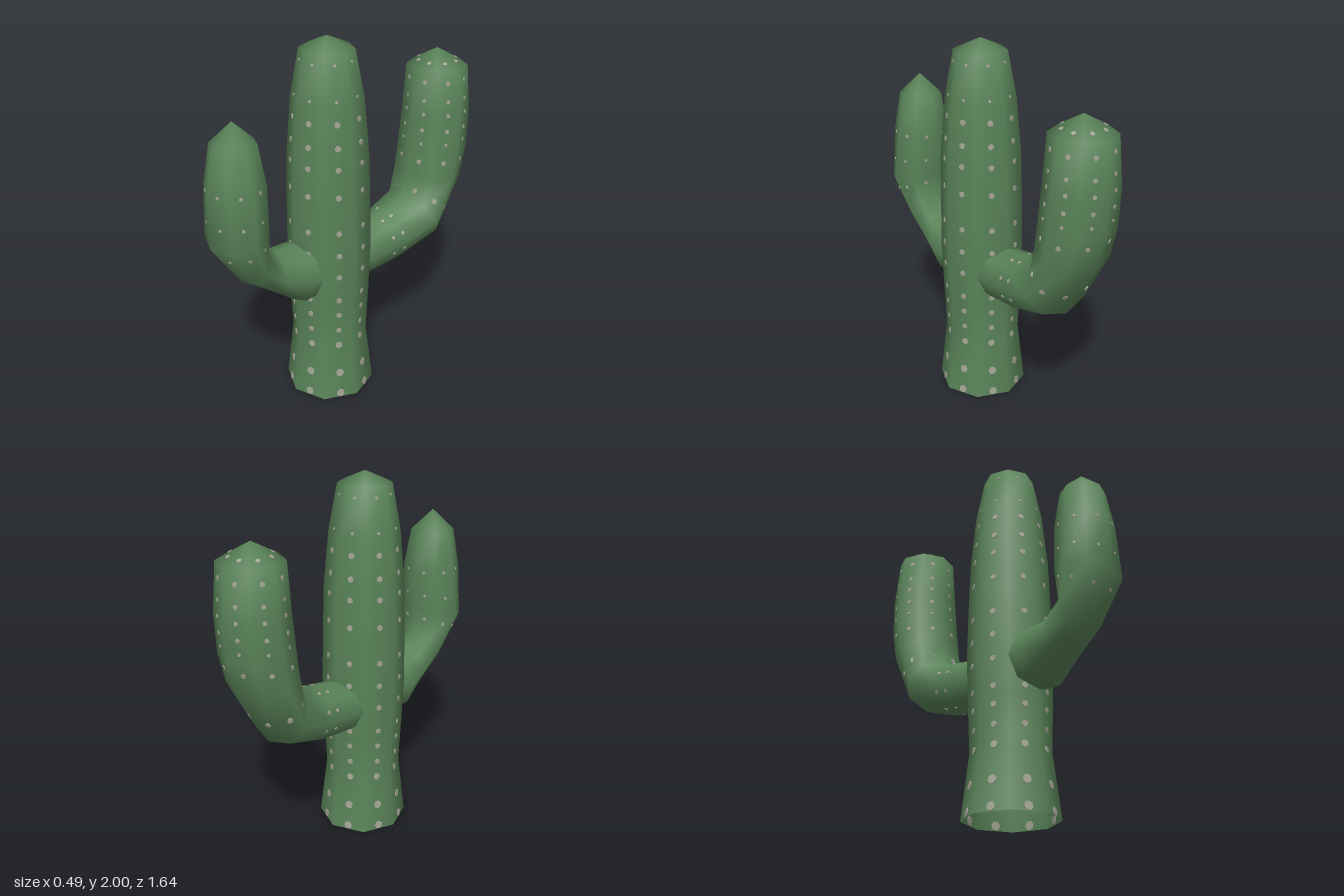
import * as THREE from 'three';
import { mergeVertices, mergeGeometries } from 'three/addons/utils/BufferGeometryUtils.js';

const SIDES = 8;

// Point on a limb. A section is [z1, y1, z2, y2, halfX]: two opposite points
// of an elliptical ring in the x = 0 plane, and its half width in x.
function ringPoint([z1, y1, z2, y2, hx], k) {
  const a = (k / SIDES) * Math.PI * 2;
  const c = Math.cos(a) / 2;
  return new THREE.Vector3(
    hx * Math.sin(a),
    (y1 + y2) / 2 + (y1 - y2) * c,
    (z1 + z2) / 2 + (z1 - z2) * c
  );
}

// Smooth eight-sided skin through all sections, open at the start
function loft(sections) {
  const pos = [], index = [];
  sections.forEach((s, i) => {
    for (let k = 0; k < SIDES; k++) {
      pos.push(...ringPoint(s, k).toArray());
      if (i === sections.length - 1) continue;
      const a = i * SIDES + k, b = i * SIDES + (k + 1) % SIDES;
      if (i < sections.length - 2) index.push(a, b, b + SIDES);
      else index.push(a, b, a + SIDES);
      if (i < sections.length - 2) index.push(a, b + SIDES, a + SIDES);
    }
  });
  let g = new THREE.BufferGeometry();
  g.setAttribute('position', new THREE.Float32BufferAttribute(pos, 3));
  g.setIndex(index);
  g = mergeVertices(g);
  g.computeVertexNormals();
  return g;
}

// Thin spots down the middle of every side; each row is [section position, radius]
function spotRows(sections, rows) {
  const parts = [];
  const up = new THREE.Vector3(0, 1, 0);
  for (const [t, radius] of rows) {
    const i = Math.min(Math.floor(t), sections.length - 2);
    for (let k = 0; k < SIDES; k++) {
      const p0 = ringPoint(sections[i], k).lerp(ringPoint(sections[i], k + 1), 0.5);
      const p1 = ringPoint(sections[i + 1], k).lerp(ringPoint(sections[i + 1], k + 1), 0.5);
      const across = ringPoint(sections[i], k + 1).sub(ringPoint(sections[i], k));
      const normal = across.cross(p1.clone().sub(p0)).normalize();
      const spot = new THREE.CylinderGeometry(radius, radius, 0.008, 7);
      spot.applyQuaternion(new THREE.Quaternion().setFromUnitVectors(up, normal));
      const c = p0.lerp(p1, t - i);
      spot.translate(c.x, c.y, c.z);
      parts.push(spot);
    }
  }
  return mergeGeometries(parts);
}

export function createModel() {
  const green = new THREE.MeshStandardMaterial({ color: 0x5a8459, side: THREE.DoubleSide });
  green.name = 'cactusGreen';
  const pale = new THREE.MeshStandardMaterial({ color: 0xa3a594 });
  pale.name = 'paleSpots';

  const model = new THREE.Group();
  model.name = 'cactus';

  function addLimb(name, sections, rows) {
    const limb = new THREE.Group();
    limb.name = name;
    const skin = new THREE.Mesh(loft(sections), green);
    skin.name = name + 'Skin';
    const spots = new THREE.Mesh(spotRows(sections, rows), pale);
    spots.name = name + 'Spots';
    limb.add(skin, spots);
    model.add(limb);
  }

  // Trunk: [height, radius], flared at the foot
  const profile = [
    [0, 0.245], [0.34, 0.205], [0.6, 0.216], [0.85, 0.224], [1.1, 0.22],
    [1.4, 0.211], [1.7, 0.184], [1.94, 0.138], [2, 0],
  ];
  const trunk = profile.map(([y, r]) => [0.11 + r, y, 0.11 - r, y, r]);
  const atHeight = (y) => {
    const i = profile.findIndex((p, n) => y < profile[n + 1][0]);
    return i + (y - profile[i][0]) / (profile[i + 1][0] - profile[i][0]);
  };
  const heights = [0.025, 0.155, 0.33, 0.43, 0.53, 0.625, 0.77, 0.9, 1.03, 1.23, 1.38, 1.49, 1.61, 1.72, 1.89];
  addLimb('trunk', trunk, heights.map((y) => [
    atHeight(y), y < 0.2 ? 0.023 : y < 0.4 ? 0.019 : y < 1.65 ? 0.016 : 0.008,
  ]));

  // Short front arm: outer point first
  addLimb('frontArm', [
    [0.16, 0.62, 0.16, 0.93, 0.15],
    [0.355, 0.61, 0.32, 0.94, 0.165],
    [0.5, 0.725, 0.455, 0.935, 0.14],
    [0.66, 0.84, 0.54, 1.01, 0.14],
    [0.82, 1.08, 0.525, 1.14, 0.185],
    [0.815, 1.38, 0.51, 1.38, 0.155],
    [0.775, 1.59, 0.545, 1.59, 0.118],
    [0.66, 1.7, 0.66, 1.7, 0],
  ], [[3.7, 0.01], [4.4, 0.008], [4.97, 0.009]]);

  // Tall back arm: inner point first
  addLimb('backArm', [
    [0.05, 0.9, 0.05, 0.62, 0.15],
    [-0.1, 0.91, -0.1, 0.622, 0.155],
    [-0.27, 0.94, -0.32, 0.648, 0.165],
    [-0.425, 0.99, -0.58, 0.74, 0.2],
    [-0.435, 1.12, -0.765, 1.07, 0.2],
    [-0.445, 1.24, -0.81, 1.25, 0.198],
    [-0.465, 1.46, -0.82, 1.45, 0.19],
    [-0.475, 1.71, -0.8, 1.71, 0.165],
    [-0.635, 1.8, -0.635, 1.8, 0],
  ], [
    [1.7, 0.01], [2.05, 0.011], [3.4, 0.015], [4.7, 0.013],
    [5.3, 0.009], [5.65, 0.012], [6.05, 0.011], [6.35, 0.011], [6.75, 0.013], [7.3, 0.012],
  ]);

  return model;
}
